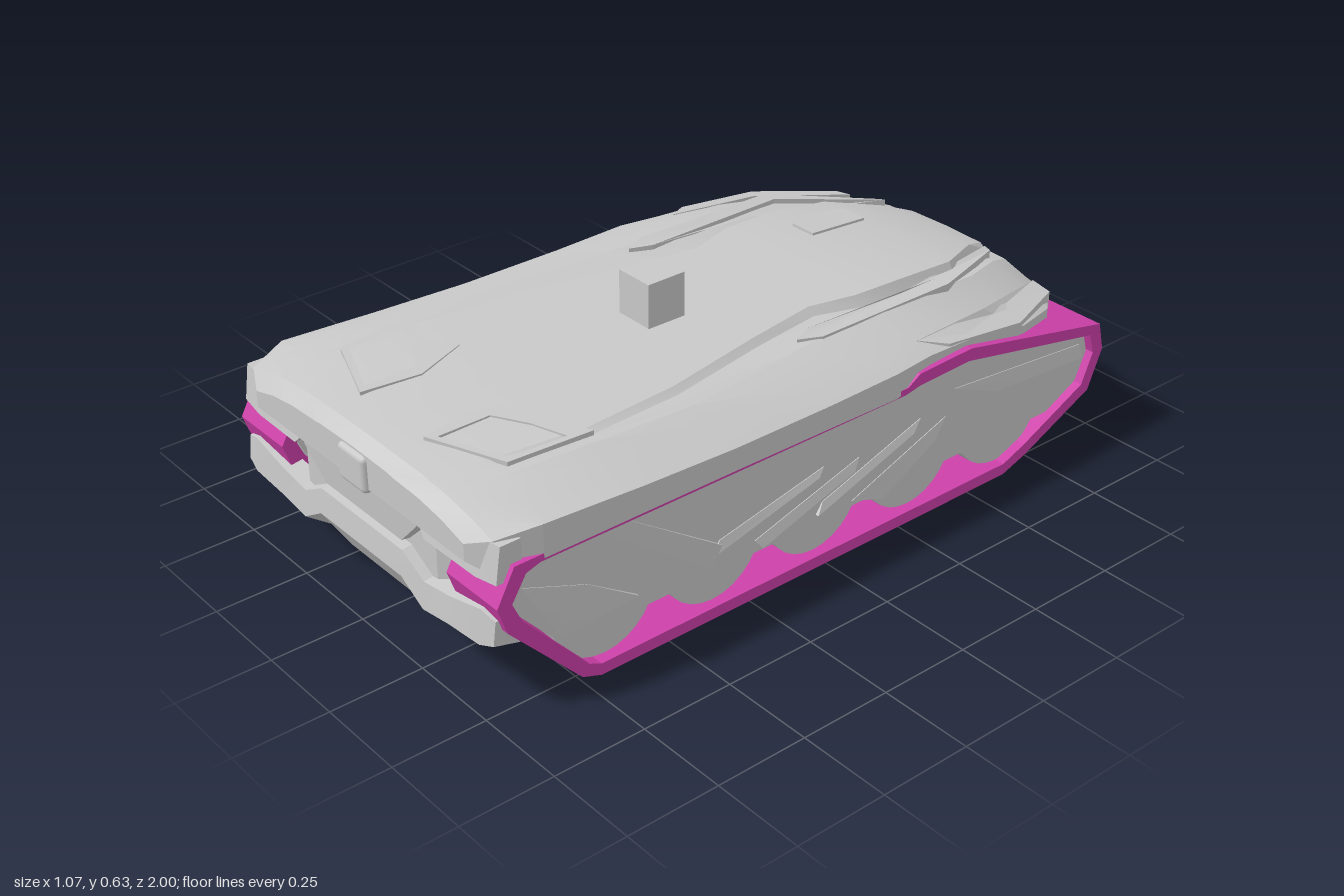
import * as THREE from 'three';
import { toCreasedNormals } from 'three/addons/utils/BufferGeometryUtils.js';
import { RoundedBoxGeometry } from 'three/addons/geometries/RoundedBoxGeometry.js';

const armourGrey = new THREE.MeshStandardMaterial({ color: 0xc8c8c8 });
const trackMagenta = new THREE.MeshStandardMaterial({ color: 0xcc40a8 });

// Closed skin through equal-length rings of [x, y, z], capped at both ends
function loft(rings, crease = 0.4) {
  const pos = [], n = rings[0].length;
  const tri = (a, b, c) => pos.push(...a, ...b, ...c);
  const mid = r => [0, 1, 2].map(k => r.reduce((s, p) => s + p[k], 0) / n);
  for (let i = 0; i < rings.length - 1; i++) {
    for (let j = 0; j < n; j++) {
      const k = (j + 1) % n, a = rings[i], b = rings[i + 1];
      tri(a[j], a[k], b[k]);
      tri(a[j], b[k], b[j]);
    }
  }
  const first = rings[0], last = rings[rings.length - 1], m0 = mid(first), m1 = mid(last);
  for (let j = 0; j < n; j++) {
    const k = (j + 1) % n;
    tri(m0, first[k], first[j]);
    tri(m1, last[j], last[k]);
  }
  // Turn the skin outward if its signed volume is negative
  let volume = 0;
  const a = new THREE.Vector3(), b = new THREE.Vector3(), c = new THREE.Vector3();
  for (let i = 0; i < pos.length; i += 9) {
    a.fromArray(pos, i); b.fromArray(pos, i + 3); c.fromArray(pos, i + 6);
    volume += a.dot(b.cross(c));
  }
  if (volume < 0) {
    for (let i = 0; i < pos.length; i += 9) {
      for (let k = 0; k < 3; k++) [pos[i + 3 + k], pos[i + 6 + k]] = [pos[i + 6 + k], pos[i + 3 + k]];
    }
  }
  const geo = new THREE.BufferGeometry();
  geo.setAttribute('position', new THREE.Float32BufferAttribute(pos, 3));
  return toCreasedNormals(geo, crease);
}

const shapeOf = pts => new THREE.Shape(pts.map(p => new THREE.Vector2(...p)));

// Extrudes a [z, y] outline sideways from x0 to x1
function sideExtrude(outline, hole, x0, x1) {
  const shape = shapeOf(outline);
  if (hole) shape.holes.push(shapeOf(hole));
  return new THREE.ExtrudeGeometry(shape, { depth: x1 - x0, bevelEnabled: false })
    .rotateY(-Math.PI / 2).translate(x1, 0, 0);
}

// Adds the -x half to a list of sections that starts at the outer +x end
const bothSides = rows => [...rows, ...rows.map(([x, ...r]) => [-x, ...r]).reverse()];

export function createModel() {
  const model = new THREE.Group();
  const add = (name, geo, mat = armourGrey, parent = model) => {
    const mesh = new THREE.Mesh(geo, mat);
    mesh.name = name;
    parent.add(mesh);
    return mesh;
  };

  // Upper shell: z, centre y, roof edge x, groove depth, ridge x/y, shoulder x/y, edge x, edge top/bottom y
  const stations = [
    [0.988, 0.475, 0.14, 0, 0.26, 0.465, 0.35, 0.452, 0.43, 0.43, 0.385],
    [0.955, 0.502, 0.24, 0, 0.33, 0.49, 0.42, 0.475, 0.495, 0.455, 0.365],
    [0.85, 0.514, 0.29, 0, 0.36, 0.507, 0.45, 0.492, 0.535, 0.475, 0.387],
    [0.57, 0.518, 0.33, 0.006, 0.385, 0.508, 0.45, 0.487, 0.537, 0.46, 0.389],
    [0.3, 0.516, 0.31, 0.01, 0.39, 0.50, 0.455, 0.48, 0.537, 0.45, 0.389],
    [0, 0.513, 0.25, 0.012, 0.36, 0.502, 0.475, 0.475, 0.537, 0.45, 0.387],
    [-0.22, 0.512, 0.215, 0.016, 0.34, 0.507, 0.485, 0.475, 0.537, 0.455, 0.385],
    [-0.35, 0.515, 0.25, 0.024, 0.345, 0.508, 0.46, 0.475, 0.52, 0.452, 0.40],
    [-0.5, 0.512, 0.255, 0.028, 0.345, 0.503, 0.435, 0.468, 0.515, 0.445, 0.42],
    [-0.7, 0.492, 0.24, 0.028, 0.32, 0.478, 0.41, 0.44, 0.51, 0.41, 0.375],
    [-0.86, 0.46, 0.16, 0.022, 0.25, 0.443, 0.35, 0.41, 0.45, 0.38, 0.34],
    [-0.94, 0.43, 0.13, 0.01, 0.22, 0.412, 0.31, 0.385, 0.38, 0.36, 0.33],
    [-1.0, 0.365, 0.1, 0, 0.17, 0.358, 0.24, 0.35, 0.29, 0.34, 0.32],
  ];
  add('upperShell', loft(stations.map(([z, cy, xr, g, xo, yo, xs, ys, w, yt, yb]) => {
    const half = [[xr, cy - 0.003], [xr + 0.02, cy - 0.006 - g], [xo, yo], [xs, ys], [w, yt], [w, yb], [Math.min(0.3, w - 0.05), yb]];
    return [[0, cy, z], ...half.map(([x, y]) => [x, y, z]), ...half.reverse().map(([x, y]) => [-x, y, z])];
  }), 0.28));

  // Central hull: z, half width, bottom y, top y
  const hull = [
    [0.955, 0.27, 0.17, 0.44], [0.91, 0.34, 0.10, 0.46], [0.65, 0.34, 0.085, 0.46],
    [-0.38, 0.34, 0.085, 0.46], [-0.86, 0.34, 0.068, 0.40], [-0.93, 0.32, 0.085, 0.36],
  ];
  add('hull', loft(hull.map(([z, w, y0, y1]) => [[w, y1, z], [-w, y1, z], [-w, y0, z], [w, y0, z]])));

  // Front bumper: x, front z, top y, crease y, bottom y
  const frontSections = bothSides([
    [0.515, 0.98, 0.27, 0.2, 0.18], [0.47, 0.988, 0.285, 0.185, 0.165], [0.35, 0.988, 0.255, 0.175, 0.13],
    [0.25, 0.988, 0.24, 0.16, 0.105], [0.17, 0.99, 0.285, 0.21, 0.09],
  ]);
  add('frontBumper', loft(frontSections.map(([x, z, top, crease, low]) => [
    [x, top, z - 0.06], [x, top - 0.008, z - 0.008], [x, crease, z], [x, low, z - 0.075], [x, low + 0.01, z - 0.1],
  ]), 0.3));

  // Rear bumper between the tracks: x, rear z
  const rearSections = bothSides([[0.335, -0.94], [0.28, -0.97], [0.18, -0.99]]);
  add('rearBumper', loft(rearSections.map(([x, z]) => [
    [x, 0.34, z], [x, 0.28, z + 0.03], [x, 0.215, z - 0.005], [x, 0.135, z + 0.005], [x, 0.07, z + 0.1], [x, 0.07, z + 0.2], [x, 0.34, z + 0.2],
  ]), 0.3));

  // Nose shield and centre block
  const shield = [[-0.28, 0.45], [0.28, 0.45], [0.25, 0.37], [0.17, 0.295], [-0.17, 0.295], [-0.25, 0.37]];
  add('noseShield', loft([
    shield.map(([x, y]) => [x, y, 0.92]), shield.map(([x, y]) => [x * 0.93, y, 0.975 + (y - 0.3) * 0.08]),
  ]));
  add('noseBlock', new RoundedBoxGeometry(0.112, 0.1, 0.04, 2, 0.015)).position.set(0, 0.42, 0.98);

  // Roof cube and raised hatch
  add('roofCube', new THREE.BoxGeometry(0.114, 0.125, 0.114)).position.set(0, 0.572, 0.109);
  const hatch = [[-0.16, -0.7], [-0.08, -0.7], [-0.07, -0.5], [-0.15, -0.5], [-0.185, -0.56]];
  add('roofHatch', loft([
    hatch.map(([x, z]) => [x, 0.47, z]), hatch.map(([x, z]) => [x, 0.518 + (z + 0.5) * 0.1, z]),
  ]));

  // Track loop, outer and inner outlines as [z, y]
  const outer = [[0.70, 0], [0.755, 0.02], [0.955, 0.235], [0.98, 0.308], [0.93, 0.4], [0.86, 0.4], [-0.26, 0.4],
    [-0.30, 0.425], [-0.48, 0.432], [-0.975, 0.33], [-0.995, 0.25], [-0.95, 0.14], [-0.72, 0.03], [-0.635, 0]];
  const inner = [[0.70, 0.032], [0.735, 0.048], [0.915, 0.25], [0.94, 0.305], [0.9, 0.37], [0.86, 0.382], [-0.25, 0.382],
    [-0.305, 0.392], [-0.475, 0.398], [-0.94, 0.308], [-0.958, 0.25], [-0.922, 0.165], [-0.71, 0.062], [-0.635, 0.032]];
  const skirt = [[0.79, 0.115], [0.91, 0.25], [0.935, 0.305], [0.895, 0.365], [0.86, 0.387], [-0.28, 0.387], [-0.32, 0.396],
    [-0.475, 0.403], [-0.935, 0.312], [-0.953, 0.25], [-0.917, 0.17], [-0.81, 0.115]];
  // Raised blades on the skirt, as [z, y]
  const blades = [
    [[0.68, 0.37], [0.60, 0.37], [0.33, 0.19], [0.36, 0.135]],
    [[0.90, 0.32], [0.72, 0.25], [0.58, 0.16], [0.80, 0.15]],
    [[0.33, 0.2], [0.0, 0.27], [0.02, 0.25], [0.36, 0.165]],
    [[0.22, 0.15], [-0.12, 0.25], [-0.1, 0.22], [0.2, 0.125]],
    [[0.0, 0.17], [-0.33, 0.28], [-0.3, 0.25], [0.02, 0.14]],
    [[-0.1, 0.13], [-0.42, 0.25], [-0.38, 0.2], [-0.2, 0.1]],
    [[-0.45, 0.32], [-0.92, 0.28], [-0.93, 0.24], [-0.6, 0.26]],
  ];
  const pod = [[0.22, 0.41], [0.27, 0.36], [0.45, 0.35], [0.522, 0.36], [0.522, 0.455], [0.33, 0.435]];
  const fin = [[0.47, 0.465, -0.35], [0.515, 0.45, -0.42], [0.515, 0.42, -0.68], [0.41, 0.39, -0.91], [0.35, 0.40, -0.91], [0.44, 0.45, -0.62]];
  const rail = [[0.325, 0.505, -0.08], [0.355, 0.506, -0.14], [0.352, 0.503, -0.58], [0.21, 0.445, -0.89], [0.19, 0.45, -0.89], [0.31, 0.503, -0.58], [0.3, 0.506, -0.14]];
  const ventRim = [[0.355, 0.57], [0.24, 0.62], [0.17, 0.57], [0.11, 0.72], [0.13, 0.88], [0.34, 0.80]];
  const ventHole = [[0.335, 0.63], [0.24, 0.66], [0.15, 0.71], [0.15, 0.855], [0.325, 0.785]];

  for (const s of [1, -1]) {
    const side = new THREE.Group();
    side.name = s > 0 ? 'leftSide' : 'rightSide';
    model.add(side);
    const span = (a, b) => (s > 0 ? [a, b] : [-b, -a]);

    add('track', sideExtrude(outer, inner, ...span(0.345, 0.535)), trackMagenta, side);
    add('sideSkirt', sideExtrude(skirt, null, ...span(0.35, 0.515)), armourGrey, side);

    // Road wheels
    for (const z of [0.67, 0.345, 0.02, -0.305, -0.63]) {
      const wheel = add('roadWheel', new THREE.CylinderGeometry(0.15, 0.15, 0.14, 28).rotateZ(Math.PI / 2), armourGrey, side);
      wheel.position.set(s * 0.438, 0.184, z);
    }

    for (const b of blades) {
      add('skirtBlade', loft([b.map(([z, y]) => [s * 0.5, y, z]),
        b.map(([z, y], i) => [s * (i < 2 ? 0.517 : 0.525), y, z])], 0.2), armourGrey, side);
    }

    // Headlight pod following the curved nose
    const nose = x => 0.992 - 0.08 * x * x;
    add('headlightPod', loft([pod.map(([x, y]) => [s * x, y, nose(x) - 0.07]),
      pod.map(([x, y]) => [s * x, y, nose(x) - (y < 0.4 ? 0 : 0.014)])], 0.2), armourGrey, side);

    // Rear fender fin and roof rail
    for (const [name, pts, h] of [['fenderFin', fin, 0.008], ['roofRail', rail, 0.005]]) {
      add(name, loft([pts.map(([x, y, z]) => [s * x, y - 0.04, z]), pts.map(([x, y, z]) => [s * x, y + h, z])], 0.3), armourGrey, side);
    }

    // Bonnet vent rim
    const rim = shapeOf(ventRim.map(([x, z]) => [s * x, -z]));
    rim.holes.push(shapeOf(ventHole.map(([x, z]) => [s * x, -z])));
    add('bonnetVent', new THREE.ExtrudeGeometry(rim, { depth: 0.019, bevelEnabled: false })
      .rotateX(-Math.PI / 2).translate(0, 0.5, 0), armourGrey, side);
  }
  return model;
}
